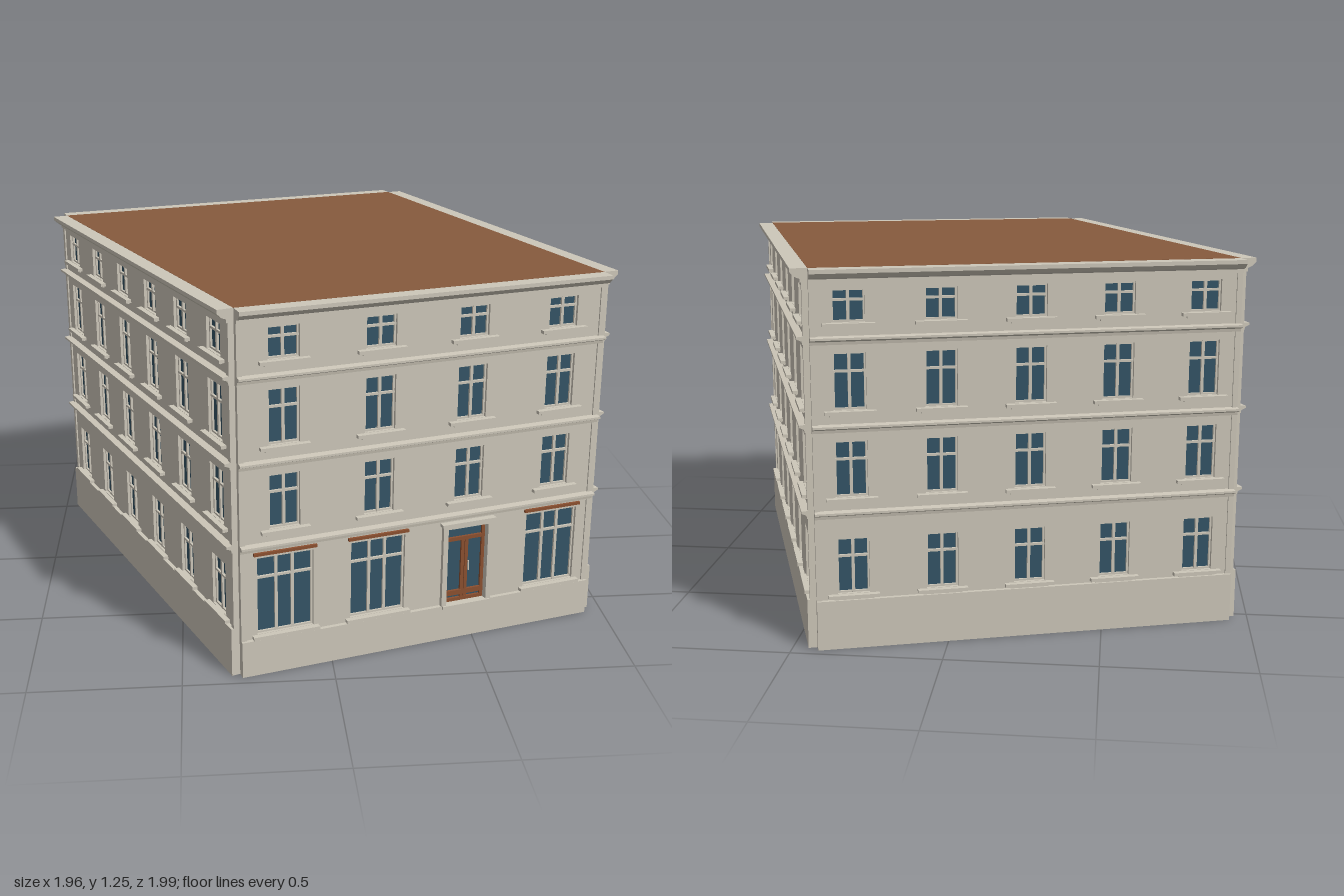
import * as THREE from 'three';

const mat = (name, color) => {
  const m = new THREE.MeshStandardMaterial({ color });
  m.name = name;
  return m;
};

export function createModel() {
  const stone = mat('stone', 0xcdc7b9);
  const glass = mat('glass', 0x345466);
  const roofTile = mat('roofTile', 0x875a3d);
  const wood = mat('wood', 0x8c5030);
  const building = new THREE.Group();
  building.name = 'cornerBuilding';

  // box given by its limits in facade space (x along, y up, z outward)
  const box = (parent, name, material, x0, x1, y0, y1, z0, z1) => {
    const mesh = new THREE.Mesh(new THREE.BoxGeometry(x1 - x0, y1 - y0, z1 - z0), material);
    mesh.position.set((x0 + x1) / 2, (y0 + y1) / 2, (z0 + z1) / 2);
    mesh.name = name;
    parent.add(mesh);
  };

  // moulding: profile of [outward, y] points swept along the facade
  const moulding = (parent, name, length, profile, y = 0) => {
    const shape = new THREE.Shape(profile.map(([o, h]) => new THREE.Vector2(-o, h + y)));
    const geo = new THREE.ExtrudeGeometry(shape, { depth: length, bevelEnabled: false });
    geo.rotateY(Math.PI / 2);
    const mesh = new THREE.Mesh(geo, stone);
    mesh.name = name;
    parent.add(mesh);
  };

  const cornice = [[0, 1.2], [0.025, 1.2], [0.025, 1.212], [0.04, 1.218], [0.055, 1.232], [0.055, 1.245], [0, 1.245]];
  const band = [[0, -0.014], [0.022, -0.014], [0.024, -0.004], [0.04, 0.003], [0.04, 0.01], [0, 0.014]];

  // glazing with frame, mullions and transom
  const addWindow = (parent, { x, w, y0, y1, wide }) => {
    const g = new THREE.Group();
    g.name = 'window';
    g.position.x = x;
    parent.add(g);
    const h = w / 2, f = 0.006, t = y1 - (y1 - y0) * (wide ? 0.27 : 0.33);
    box(g, 'pane', glass, -h, h, y0, y1, -0.008, -0.002);
    for (const s of [-1, 1]) box(g, 'frameSide', stone, s * (h - f / 2) - f / 2, s * (h - f / 2) + f / 2, y0, y1, -0.003, 0.005);
    box(g, 'frameTop', stone, -h, h, y1 - f, y1, -0.003, 0.005);
    box(g, 'frameBottom', stone, -h, h, y0, y0 + f, -0.003, 0.005);
    for (const m of wide ? [-0.028, 0.028] : [0]) box(g, 'mullion', stone, m - 0.005, m + 0.005, y0, y1, -0.003, 0.006);
    box(g, 'transom', stone, -h, h, t - 0.004, t + 0.004, -0.003, 0.006);
    // sill and apron
    const s = wide ? 0.115 : 0.083;
    box(g, 'sill', stone, -s, s, y0 - 0.012, y0 - 0.001, 0, 0.034);
    box(g, 'sillApron', stone, -s + 0.018, s - 0.018, y0 - 0.02, y0 - 0.012, 0, 0.022);
    if (wide) box(g, 'lintelStrip', wood, -0.108, 0.108, 0.425, 0.435, 0.01, 0.024);
  };

  // glazed double door in a stone surround
  const addDoor = (parent, x) => {
    const g = new THREE.Group();
    g.name = 'entrance';
    g.position.x = x;
    parent.add(g);
    box(g, 'doorGlass', glass, -0.075, 0.075, 0.127, 0.41, -0.008, -0.002);
    for (const s of [-0.069, -0.007, 0.007, 0.069]) box(g, 'doorStile', wood, s - 0.006, s + 0.006, 0.127, s * s > 0.001 ? 0.41 : 0.36, -0.003, 0.006);
    for (const [a, b] of [[0.127, 0.14], [0.15, 0.168], [0.355, 0.368], [0.4, 0.41]]) box(g, 'doorRail', wood, -0.075, 0.075, a, b, -0.003, 0.007);
    box(g, 'doorHandle', stone, 0.012, 0.016, 0.24, 0.275, 0.006, 0.012);
    for (const s of [-1, 1]) box(g, 'doorPilaster', stone, s * 0.084 - 0.009, s * 0.084 + 0.009, 0.127, 0.412, 0, 0.03);
    box(g, 'doorHead', stone, -0.093, 0.093, 0.411, 0.424, 0, 0.03);
    box(g, 'doorHood', stone, -0.1, 0.1, 0.424, 0.434, 0, 0.038);
    box(g, 'doorStep', stone, -0.09, 0.09, 0.118, 0.128, 0, 0.036);
  };

  const floors = [[0.51, 0.695], [0.795, 0.98], [1.075, 1.18]];

  const addFacade = (name, a, b, count, spacing, plinthTop, shopFront) => {
    const dx = b[0] - a[0], dz = b[1] - a[1], L = Math.hypot(dx, dz);
    const f = new THREE.Group();
    f.name = name;
    f.position.set(a[0], 0, a[1]);
    f.rotation.y = Math.atan2(-dz, dx);
    building.add(f);

    // openings
    const openings = [];
    for (let i = 0; i < count; i++) {
      const x = L / 2 + (i - (count - 1) / 2) * spacing;
      for (const [y0, y1] of floors) openings.push({ x, w: 0.105, y0, y1 });
      if (!shopFront) openings.push({ x, w: 0.105, y0: 0.185, y1: 0.372 });
      else if (i === 2) openings.push({ x, w: 0.15, y0: 0.128, y1: 0.41, door: true });
      else openings.push({ x, w: 0.196, y0: 0.142, y1: 0.415, wide: true });
    }

    // wall with holes
    const rect = (p, x0, x1, y0, y1) => p.moveTo(x0, y0).lineTo(x1, y0).lineTo(x1, y1).lineTo(x0, y1).closePath();
    const shape = rect(new THREE.Shape(), 0, L, plinthTop - 0.005, 1.24);
    for (const o of openings) shape.holes.push(rect(new THREE.Path(), o.x - o.w / 2, o.x + o.w / 2, o.y0, o.y1));
    const geo = new THREE.ExtrudeGeometry(shape, { depth: 0.021, bevelEnabled: false });
    geo.translate(0, 0, -0.006);
    const wall = new THREE.Mesh(geo, stone);
    wall.name = 'wall';
    f.add(wall);

    for (const o of openings) o.door ? addDoor(f, o.x) : addWindow(f, o);

    // plinth, corner strips, string courses and cornice
    box(f, 'plinth', stone, 0, L, 0, plinthTop, -0.01, 0.029);
    box(f, 'cornerStrip', stone, 0, 0.018, plinthTop, 1.2, 0.01, 0.02);
    box(f, 'cornerStrip', stone, L - 0.018, L, plinthTop, 1.2, 0.01, 0.02);
    for (const y of [0.455, 0.738, 1.02]) moulding(f, 'stringCourse', L, band, y);
    moulding(f, 'cornice', L, cornice);
  };

  // plan corners as [x, z]
  const A = [-0.31, 0.94], B = [0.929, 0.585], C = [0.42, -0.945], D = [-0.929, -0.53];
  addFacade('frontFacade', A, B, 4, 0.327, 0.127, true);
  addFacade('rightFacade', B, C, 6, 0.274, 0.166, false);
  addFacade('backFacade', C, D, 5, 0.292, 0.166, false);
  addFacade('leftFacade', D, A, 6, 0.27, 0.17, false);

  // flat roof
  const plan = new THREE.Shape([A, B, C, D].map(([x, z]) => new THREE.Vector2(x, -z)));
  const roofGeo = new THREE.ExtrudeGeometry(plan, { depth: 0.006, bevelEnabled: false });
  roofGeo.rotateX(-Math.PI / 2);
  const roof = new THREE.Mesh(roofGeo, roofTile);
  roof.position.y = 1.2395;
  roof.name = 'roof';
  building.add(roof);

  return building;
}
